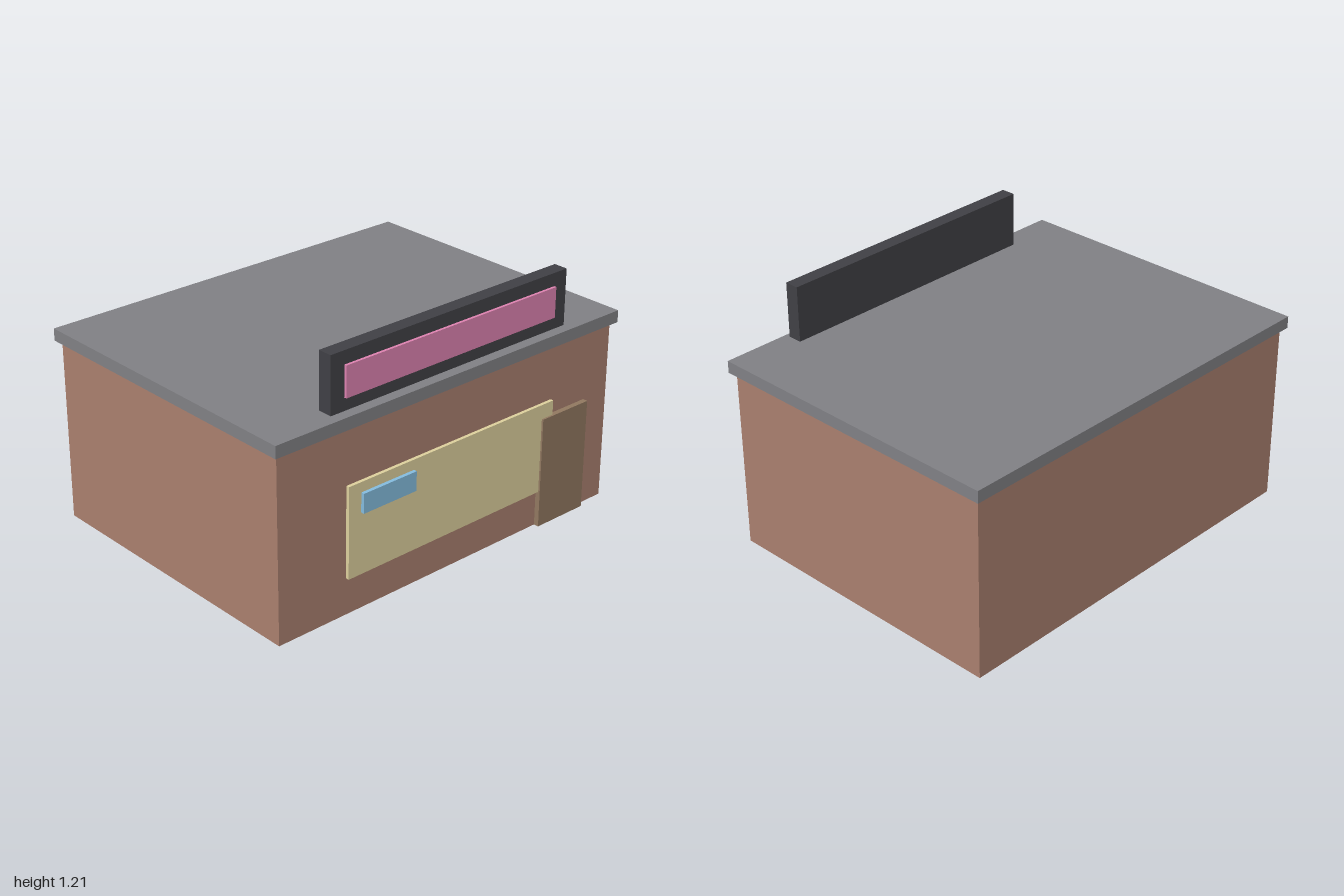
import * as THREE from 'three';

// Axis-aligned box given by its extents along x, y and z
function block(name, color, [x0, x1], [y0, y1], [z0, z1]) {
  const geometry = new THREE.BoxGeometry(x1 - x0, y1 - y0, z1 - z0);
  const mesh = new THREE.Mesh(geometry, new THREE.MeshStandardMaterial({ color }));
  mesh.name = name;
  mesh.position.set((x0 + x1) / 2, (y0 + y1) / 2, (z0 + z1) / 2);
  return mesh;
}

export function createModel() {
  const shop = new THREE.Group();
  shop.name = 'shop';

  // Building shell with an overhanging flat roof
  shop.add(
    block('walls', 0xa97f6e, [-0.976, 0.976], [0, 0.876], [-0.733, 0.727]),
    block('roof', 0x808084, [-1, 1], [0.876, 0.934], [-0.757, 0.752]),
  );

  // Shop front: wide window, small notice and door
  shop.add(
    block('shopWindow', 0xdccf9c, [-0.61, 0.605], [0.175, 0.61], [0.715, 0.743]),
    block('windowNotice', 0x84bbdd, [-0.542, -0.245], [0.469, 0.562], [0.735, 0.76]),
    block('door', 0x917860, [0.536, 0.825], [0, 0.54], [0.715, 0.752]),
  );

  // Sign hovering just above the front edge of the roof
  const sign = new THREE.Group();
  sign.name = 'roofSign';
  sign.add(
    block('signBoard', 0x404045, [-0.682, 0.68], [0.943, 1.209], [0.645, 0.714]),
    block('signPanel', 0xdd82b0, [-0.61, 0.605], [1.003, 1.147], [0.7, 0.727]),
  );
  shop.add(sign);

  return shop;
}
